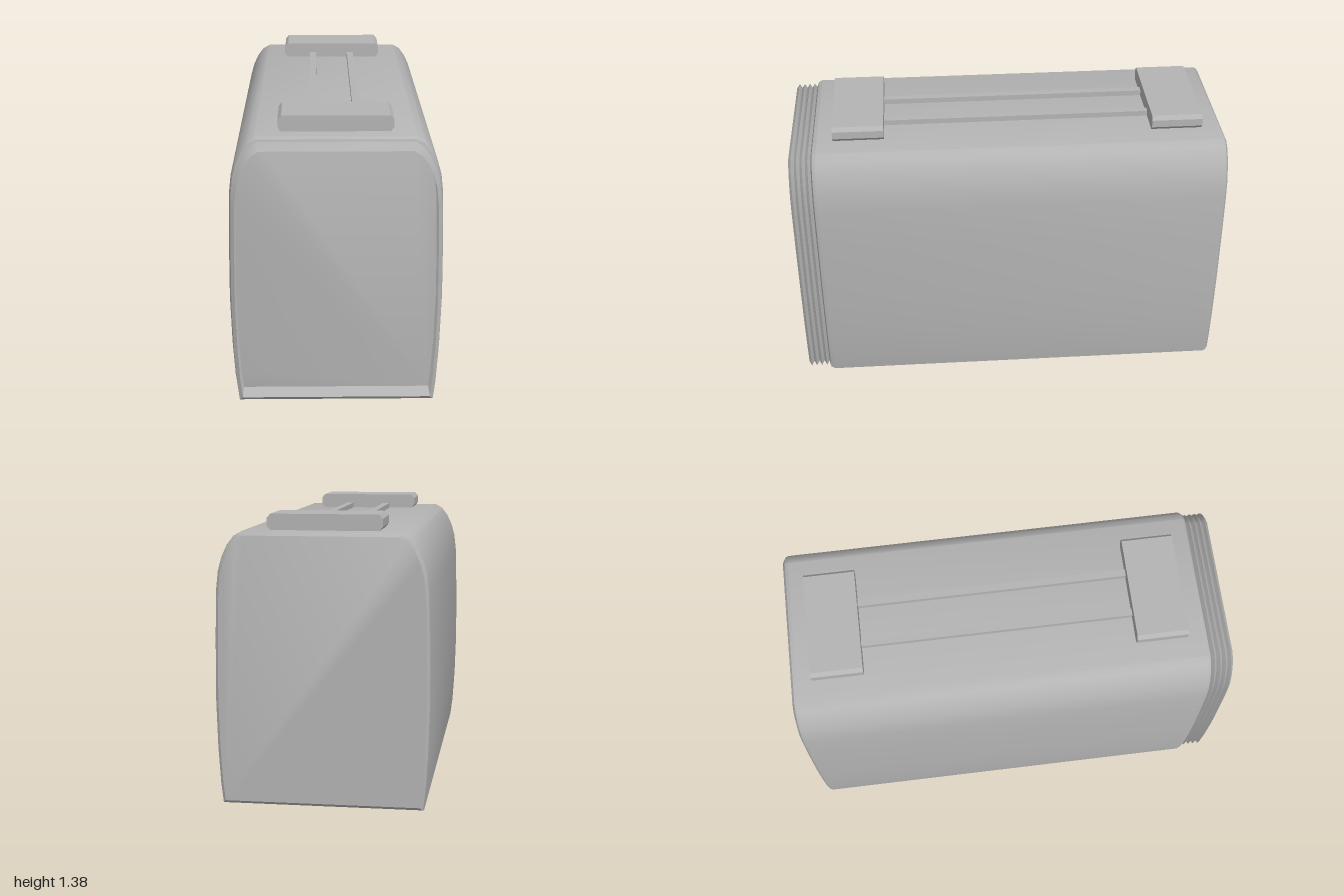
import * as THREE from 'three';
import { toCreasedNormals } from 'three/addons/utils/BufferGeometryUtils.js';

// Half outline of the carriage, from bottom to roof
const HALF = [[0.442, 0.115], [0.452, 0.2], [0.462, 0.36], [0.468, 0.58], [0.465, 0.85],
  [0.459, 1.06], [0.45, 1.14], [0.433, 1.2], [0.41, 1.25], [0.38, 1.29], [0.345, 1.31]];

// Closed outline, shrunk by an even inset
function section(inset) {
  const half = HALF.map(([x, y]) => [
    x * (1 - inset / 0.468), 0.7125 + (y - 0.7125) * (1 - inset / 0.5975)]);
  return [...half, ...half.slice().reverse().map(([x, y]) => [-x, y])];
}

// Skin through rings of [z, inset], ordered back to front
function loft(rings, capBack, capFront) {
  const pos = [], idx = [], n = HALF.length * 2;
  rings.forEach(([z, inset]) => section(inset).forEach(([x, y]) => pos.push(x, y, z)));
  for (let r = 0; r < rings.length - 1; r++) {
    for (let i = 0; i < n; i++) {
      const a = r * n + i, b = r * n + (i + 1) % n;
      idx.push(a, b, b + n, a, b + n, a + n);
    }
  }
  const last = (rings.length - 1) * n;
  for (let i = 1; i < n - 1; i++) {
    if (capBack) idx.push(0, i + 1, i);
    if (capFront) idx.push(last, last + i, last + i + 1);
  }
  const g = new THREE.BufferGeometry();
  g.setAttribute('position', new THREE.Float32BufferAttribute(pos, 3));
  g.setIndex(idx);
  return toCreasedNormals(g, 0.6);
}

export function createModel() {
  const model = new THREE.Group();
  model.name = 'railCarriage';
  const grey = new THREE.MeshStandardMaterial({ color: 0xb4b4b4, side: THREE.DoubleSide });
  grey.name = 'grey';

  function add(name, geometry, x = 0, y = 0, z = 0) {
    const mesh = new THREE.Mesh(geometry, grey);
    mesh.name = name;
    mesh.position.set(x, y, z);
    model.add(mesh);
    return mesh;
  }

  // Main shell with softened ends
  add('body', loft([[-1, 0.016], [-0.99, 0.004], [-0.975, 0], [0.875, 0], [0.893, 0.008], [0.9, 0.026]], true, true));

  // Open folded gangway at the front
  const folds = [];
  for (let i = 0; i <= 8; i++) folds.push([0.9 + i * 0.0125, i % 2 ? 0.014 : 0.03]);
  add('bellows', loft(folds, false, false));

  // Roof pads with clipped side edges
  const pad = new THREE.Shape([[-0.25, 1.327], [-0.234, 1.308], [0.234, 1.308], [0.25, 1.327],
    [0.25, 1.362], [0.234, 1.38], [-0.234, 1.38], [-0.25, 1.362]].map(p => new THREE.Vector2(...p)));
  const padGeometry = new THREE.ExtrudeGeometry(pad, { depth: 0.234, bevelEnabled: false });
  add('frontRoofPad', padGeometry, 0, 0, 0.568);
  add('rearRoofPad', padGeometry, 0, 0, -0.902);

  // Twin rails between the pads
  for (const x of [-0.1, 0.096]) {
    add('roofRail', new THREE.BoxGeometry(0.033, 0.03, 1.26), x, 1.32, -0.052);
  }

  // Flanged wheels, half hidden in the floor, on thin axles
  const wheelProfile = [[0, 0], [0.085, 0], [0.115, 0.004], [0.12, 0.012], [0.117, 0.018],
    [0.104, 0.022], [0.1, 0.046], [0.092, 0.052], [0, 0.052]].map(p => new THREE.Vector2(...p));
  const wheel = toCreasedNormals(new THREE.LatheGeometry(wheelProfile, 18), 0.6);
  for (const z of [0.31, -0.4]) {
    for (const side of [-1, 1]) {
      const mesh = add(side > 0 ? 'leftWheel' : 'rightWheel', wheel, side * 0.268, 0.12, z);
      mesh.rotation.z = -side * Math.PI / 2;
    }
    const axle = add('axle', new THREE.CylinderGeometry(0.014, 0.014, 0.7, 8), 0, 0.12, z);
    axle.rotation.z = Math.PI / 2;
  }
  return model;
}
